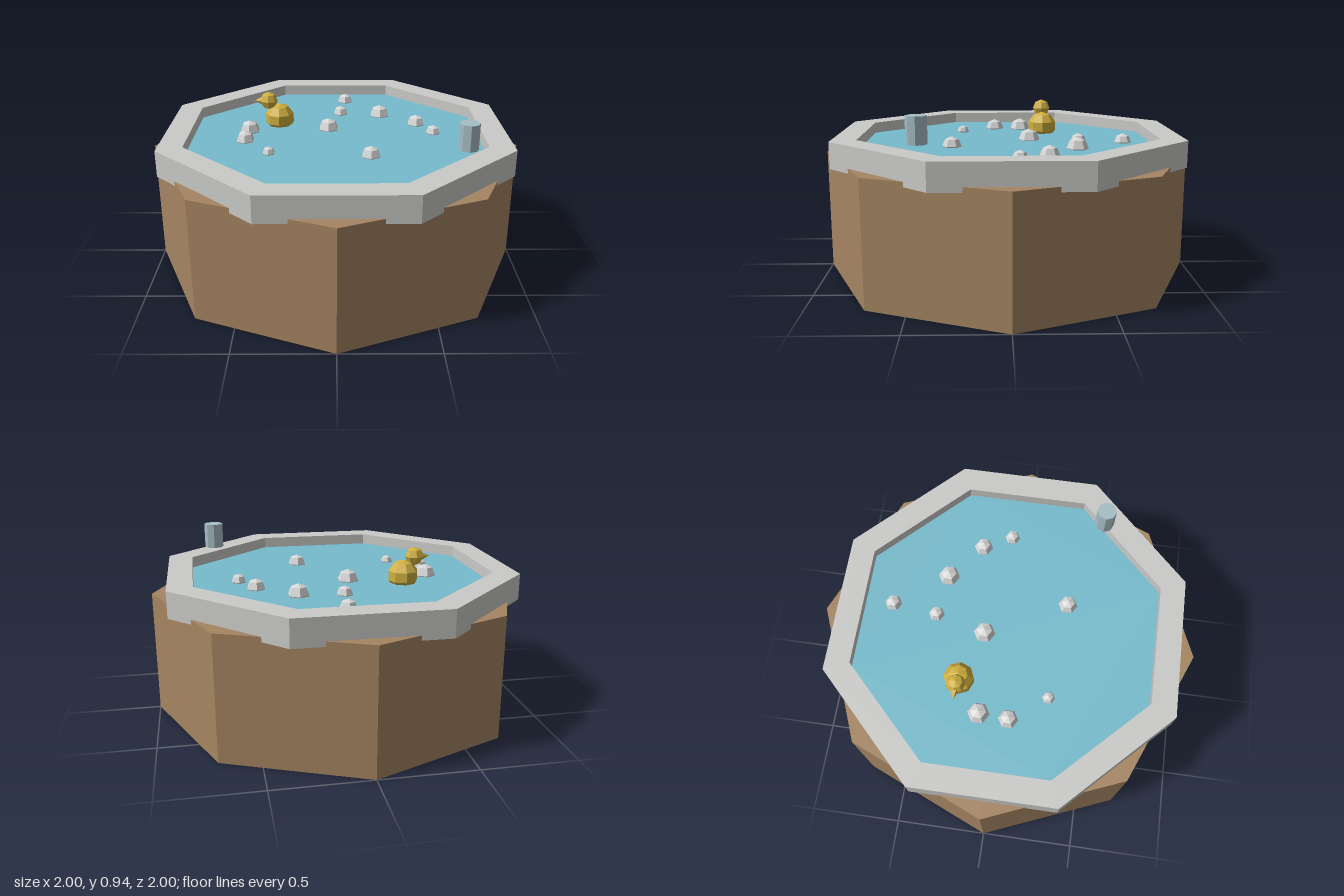
import * as THREE from 'three';

const makeMat = (name, color) => {
  const m = new THREE.MeshStandardMaterial({ color });
  m.name = name;
  return m;
};

export function createModel() {
  const wood = makeMat('wood brown', 0xa58562);
  const stone = makeMat('rim grey', 0xcacac8);
  const waterBlue = makeMat('water blue', 0x76bbcc);
  const foam = makeMat('bubble white', 0xd6d6d6);
  const yellow = makeMat('duck yellow', 0xd0b040);
  const glass = makeMat('cup blue grey', 0xa6bec6);

  const model = new THREE.Group();
  model.name = 'hotTub';

  // Faceted look: split vertices and give each face its own normal
  const add = (parent, name, geometry, material, x = 0, y = 0, z = 0) => {
    const flat = geometry.index ? geometry.toNonIndexed() : geometry;
    flat.computeVertexNormals();
    const mesh = new THREE.Mesh(flat, material);
    mesh.name = name;
    mesh.position.set(x, y, z);
    parent.add(mesh);
    return mesh;
  };

  // Octagon with flat sides towards the axes, given its half width
  const octagon = (target, halfWidth) => {
    const r = halfWidth / Math.cos(Math.PI / 8);
    const points = [];
    for (let i = 0; i < 8; i++) {
      const a = Math.PI / 8 + (i * Math.PI) / 4;
      points.push(new THREE.Vector2(r * Math.cos(a), r * Math.sin(a)));
    }
    return target.setFromPoints(points);
  };

  // Eight-sided tub, corners on the axes
  add(model, 'tub', new THREE.CylinderGeometry(1, 1, 0.655, 8), wood, 0, 0.3275, 0);

  // Rim, turned by half a side against the tub
  const ring = octagon(new THREE.Shape(), 0.91);
  ring.holes.push(octagon(new THREE.Path(), 0.78));
  const rim = new THREE.ExtrudeGeometry(ring, { depth: 0.14, bevelEnabled: false });
  rim.rotateX(-Math.PI / 2);
  add(model, 'rim', rim, stone, 0, 0.63, 0);

  // Water surface inside the rim
  const water = new THREE.ShapeGeometry(octagon(new THREE.Shape(), 0.78));
  water.rotateX(-Math.PI / 2);
  add(model, 'water', water, waterBlue, 0, 0.71, 0);

  // Bubbles: x, z, radius
  const bubbles = [
    [0.06, -0.63, 0.046], [0.03, -0.39, 0.043], [0.26, -0.36, 0.058],
    [0.46, -0.2, 0.051], [0.54, -0.05, 0.041], [-0.04, -0.12, 0.058],
    [-0.48, -0.085, 0.058], [-0.49, 0.07, 0.052], [-0.35, 0.26, 0.034],
    [0.18, 0.3, 0.051],
  ];
  for (const [x, z, r] of bubbles) {
    const ball = new THREE.SphereGeometry(r, 6, 4);
    ball.rotateY(Math.PI / 6);
    add(model, 'bubble', ball, foam, x, 0.715, z);
  }

  // Toy duck facing -x
  const duck = new THREE.Group();
  duck.name = 'toyDuck';
  duck.position.set(-0.32, 0.75, -0.21);
  model.add(duck);
  add(duck, 'duckBody', new THREE.SphereGeometry(0.083, 8, 5), yellow);
  add(duck, 'duckHead', new THREE.SphereGeometry(0.05, 8, 4), yellow, -0.06, 0.1, 0);
  const beak = new THREE.ConeGeometry(0.025, 0.05, 6);
  beak.rotateZ(Math.PI / 2);
  add(duck, 'duckBeak', beak, yellow, -0.117, 0.1, 0);

  // Cup above the rim
  add(model, 'cup', new THREE.CylinderGeometry(0.052, 0.052, 0.135, 8), glass, 0.65, 0.871, 0.44);

  return model;
}
